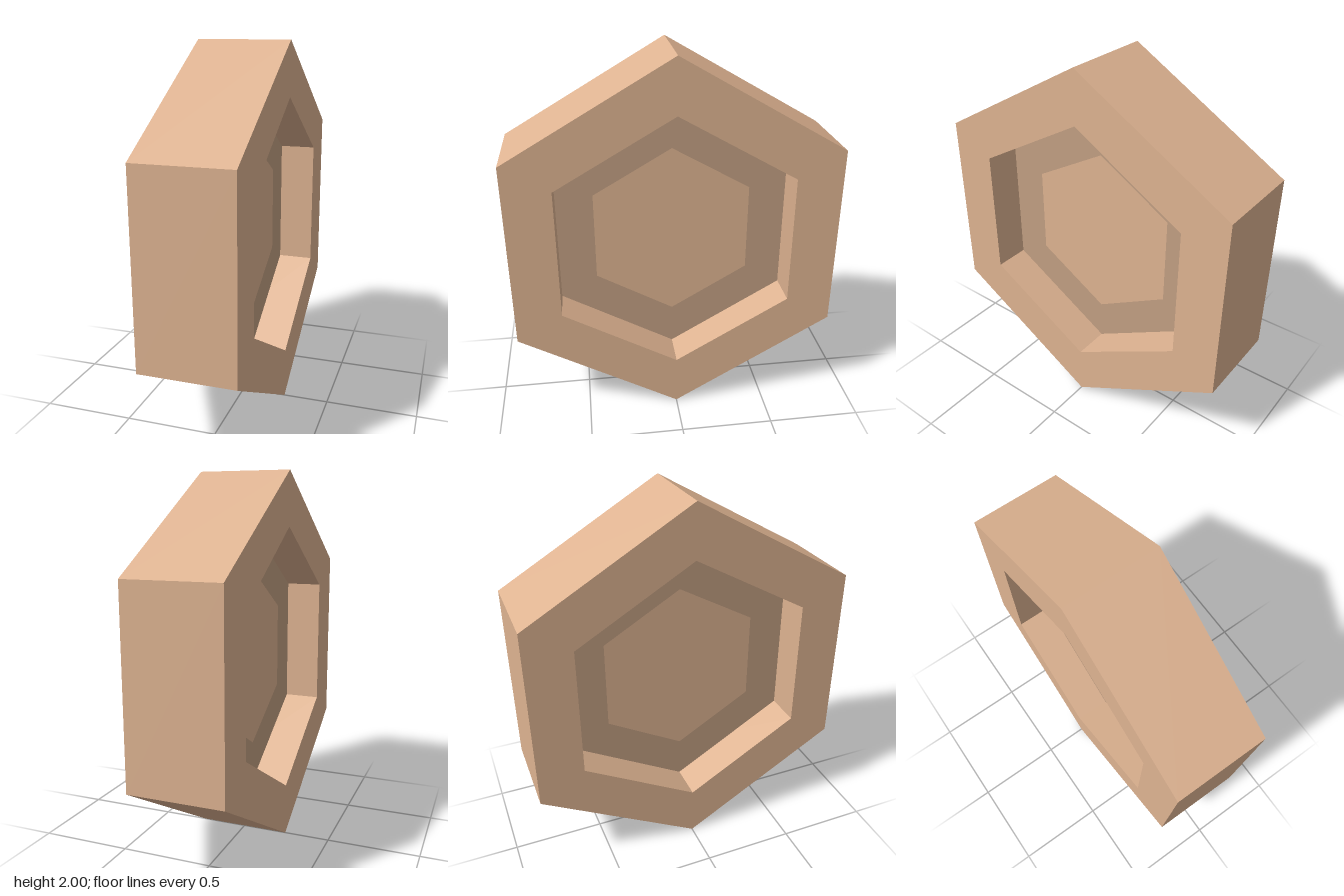
import * as THREE from 'three';

// Pointed-top hexagon corners of a given radius
const hexPoints = (r) => Array.from({ length: 6 }, (_, i) => {
  const a = Math.PI / 2 + (i * Math.PI) / 3;
  return new THREE.Vector2(r * Math.cos(a), r * Math.sin(a));
});

// Hexagon shape with an optional hexagonal hole
function hexShape(r, hole) {
  const shape = new THREE.Shape(hexPoints(r));
  if (hole) shape.holes.push(new THREE.Path(hexPoints(hole)));
  return shape;
}

export function createModel() {
  const width = 0.5, webHalf = 0.05;
  const outerR = 1, recessR = 0.714, centreR = 0.485;
  const tan = new THREE.MeshStandardMaterial({ color: 0xdeb391 });
  const darkTan = new THREE.MeshStandardMaterial({ color: 0xc29f82 });

  const model = new THREE.Group();
  model.name = 'hexagonalBlock';
  const add = (name, geometry, material) => {
    const mesh = new THREE.Mesh(geometry, material);
    mesh.name = name;
    mesh.position.y = outerR;
    model.add(mesh);
  };

  // Outer rim with the recess walls
  const rim = new THREE.ExtrudeGeometry(hexShape(outerR, recessR), { depth: width, bevelEnabled: false });
  add('rim', rim.translate(0, 0, -width / 2).rotateY(Math.PI / 2), tan);

  // Recess floor on each side: darker border around a lighter centre
  for (const [side, sign] of [['left', 1], ['right', -1]]) {
    const floor = (shape) => new THREE.ShapeGeometry(shape)
      .translate(0, 0, webHalf)
      .rotateY((sign * Math.PI) / 2);
    add(side + 'FloorBorder', floor(hexShape(recessR, centreR)), darkTan);
    add(side + 'FloorCentre', floor(hexShape(centreR)), tan);
  }
  return model;
}
